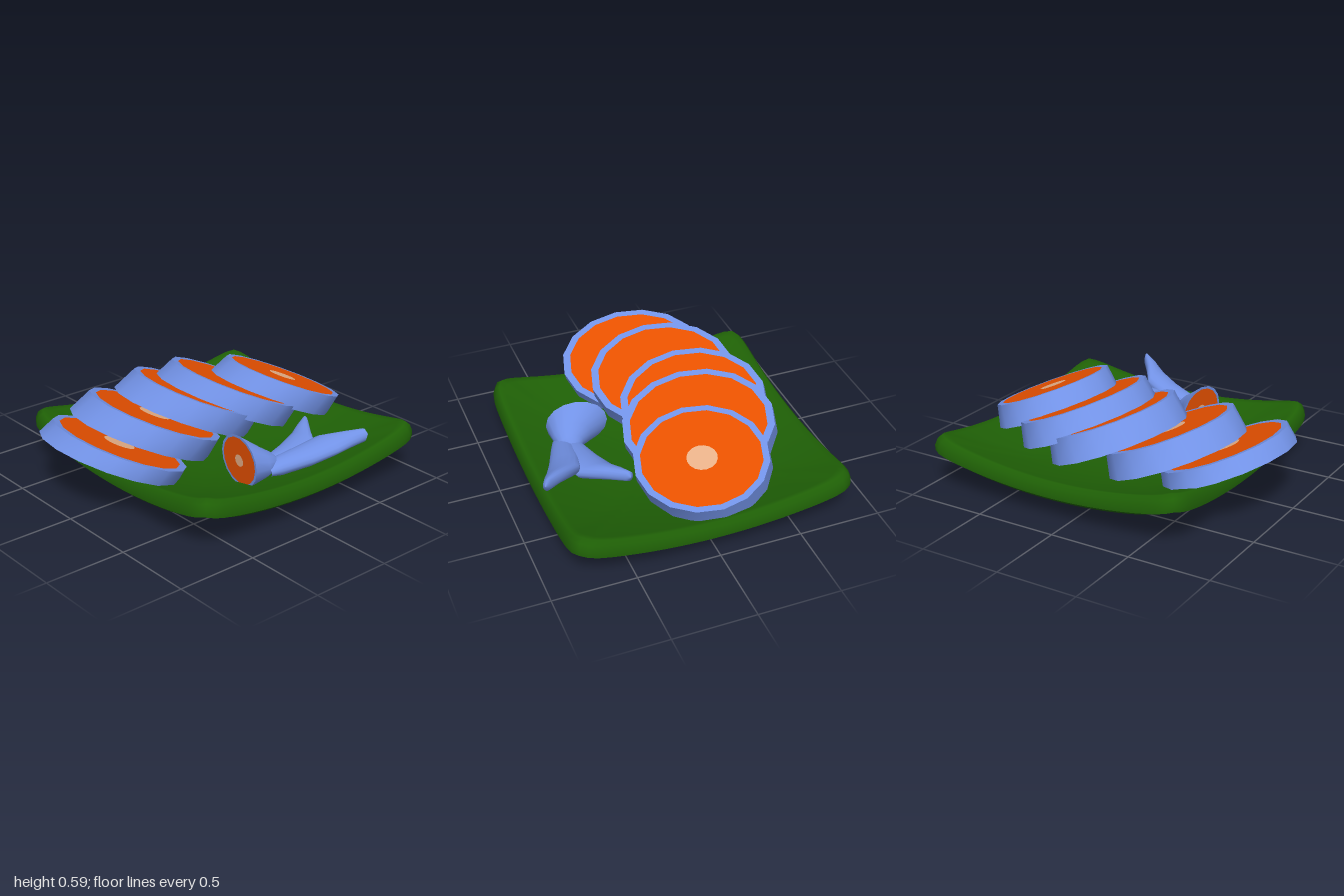
import * as THREE from 'three';

const mat = (name, color) => {
  const m = new THREE.MeshStandardMaterial({ color });
  m.name = name;
  return m;
};

// Skin a list of closed rings (arrays of Vector3), outward for counter-clockwise rings
function loft(rings) {
  const n = rings[0].length, pos = [], index = [];
  rings.forEach(r => r.forEach(p => pos.push(p.x, p.y, p.z)));
  for (let i = 0; i < rings.length - 1; i++) {
    for (let j = 0; j < n; j++) {
      const k = (j + 1) % n;
      const a = i * n + j, b = i * n + k, c = a + n, d = b + n;
      index.push(a, b, d, a, d, c);
    }
  }
  const g = new THREE.BufferGeometry();
  g.setAttribute('position', new THREE.Float32BufferAttribute(pos, 3));
  g.setIndex(index);
  g.computeVertexNormals();
  return g;
}

const ring = (n, fn) => Array.from({ length: n }, (_, j) => {
  const a = (j / n) * Math.PI * 2;
  return fn(Math.cos(a), Math.sin(a));
});

export function createModel() {
  const green = mat('leaf green', 0x1f6006);
  const blue = mat('fish skin blue', 0x7292e6);
  const orange = mat('fish flesh orange', 0xea5200);
  const cream = mat('fish bone cream', 0xeab28a);

  const model = new THREE.Group();
  const add = (parent, name, geometry, material) => {
    const mesh = new THREE.Mesh(geometry, material);
    mesh.name = name;
    parent.add(mesh);
  };
  // Cut face: skin border, flesh and central bone as concentric bands
  const BANDS = [[1, 0.9, 'Border', blue], [0.9, 0.23, 'Flesh', orange], [0.23, 0, 'Bone', cream]];
  const cutFace = (parent, name, ringAt, flip) => BANDS.forEach(([outer, inner, label, m]) => {
    const rings = [ringAt(outer), ringAt(inner)];
    add(parent, name + label, loft(flip ? rings.reverse() : rings), m);
  });

  // Leaf plate: rounded square bowl with raised, knobbed corners
  // each entry: scale, height, share of the corner lift, inset at the corners
  const underside = [
    [0, 0, 0, 0], [0.3, 0, 0, 0], [0.5, 0, 0, 0], [0.7, 0.038, 0.2, 0],
    [0.88, 0.08, 0.75, 0.06], [0.97, 0.115, 0.95, 0.05], [1, 0.138, 0.95, 0],
  ];
  const upperSide = [
    [1, 0.138, 0.95, 0], [1, 0.165, 1, 0], [0.985, 0.205, 1, 0], [0.96, 0.225, 1, 0],
    [0.92, 0.215, 0.95, 0], [0.75, 0.165, 0.6, 0], [0.5, 0.112, 0.2, 0],
    [0.25, 0.088, 0.04, 0], [0, 0.08, 0, 0],
  ];
  const plateLoft = profile => loft(profile.map(([s, y, lift, inset]) => ring(144, (c, q) => {
    const r = Math.pow(Math.abs(c) ** 15 + Math.abs(q) ** 15, -1 / 15);
    const t = Math.min(Math.abs(c), Math.abs(q)) * r;
    const w = r * (s - inset * t ** 8) * 0.857;
    return new THREE.Vector3(c * w, y + 0.11 * lift * t * t, -0.14 - q * w);
  })));
  add(model, 'leafUnderside', plateLoft(underside), green);
  add(model, 'leafRimAndBowl', plateLoft(upperSide), green);

  // Overlapping slices, leaning back and widening downwards:
  // x, y, z of the upper face, radii, depth
  const slices = [
    [-0.075, 0.33, 0.585, 0.465, 0.335, 0.68],
    [-0.15, 0.40, 0.265, 0.46, 0.34, 1],
    [-0.20, 0.43, -0.105, 0.455, 0.335, 1.03],
    [-0.13, 0.45, -0.355, 0.465, 0.335, 1],
    [-0.02, 0.445, -0.66, 0.40, 0.315, 0.95],
  ];
  slices.forEach(([x, y, z, rx, rz, k], i) => {
    const slice = new THREE.Group();
    slice.name = 'fishSlice' + (i + 1);
    const at = depth => s => ring(16, (c, q) => {
      const dx = c * s * (rx + 0.01 * depth), dz = -q * s * (rz + 0.035 * depth);
      return new THREE.Vector3(
        x + dx - 0.05 * depth, y + dz * 0.42 - dx * 0.03 - 0.12 * depth, z + dz + 0.085 * depth);
    });
    const top = at(0), bottom = at(k);
    add(slice, 'skin', loft([bottom(1), top(1)]), blue);
    cutFace(slice, 'upper', top, false);
    cutFace(slice, 'lower', bottom, true);
    model.add(slice);
  });

  // Tail piece
  const tail = new THREE.Group();
  tail.name = 'fishTail';
  const section = (x, y, z, rx, ry, skew = 0) => ring(16, (c, q) =>
    new THREE.Vector3(x + c * rx, y + q * ry, z + c * rx * skew));

  // Stump tapering from the cut end to the narrow joint
  const cut = s => section(0.465, 0.27, 0.13, 0.185 * s, 0.155 * s, 0.16);
  add(tail, 'stump', loft([
    section(0.55, 0.245, -0.07, 0, 0),
    section(0.55, 0.245, -0.06, 0.045, 0.035),
    section(0.55, 0.25, -0.03, 0.075, 0.06),
    section(0.525, 0.255, 0.03, 0.115, 0.095, 0.1),
    cut(1),
  ]), blue);
  cutFace(tail, 'cut', cut, false);

  // Two fin lobes meeting at the notch, tip first: x from, x to, y, z, half thickness
  const lobes = {
    rightFin: [[0.355, 0.355, 0.3, -0.515, 0], [0.335, 0.385, 0.3, -0.5, 0.035],
      [0.365, 0.495, 0.285, -0.42, 0.045], [0.4, 0.62, 0.265, -0.34, 0.05],
      [0.445, 0.65, 0.245, -0.2, 0.05], [0.48, 0.63, 0.225, -0.05, 0.05],
      [0.50, 0.61, 0.225, 0.04, 0.03]],
    leftFin: [[0.86, 0.86, 0.385, -0.52, 0], [0.815, 0.87, 0.38, -0.5, 0.042],
      [0.715, 0.84, 0.35, -0.42, 0.05], [0.6, 0.805, 0.31, -0.34, 0.055],
      [0.56, 0.745, 0.265, -0.2, 0.055], [0.54, 0.68, 0.235, -0.03, 0.05],
      [0.55, 0.65, 0.225, 0.04, 0.03]],
  };
  Object.entries(lobes).forEach(([name, rows]) => add(tail, name, loft(
    rows.map(([a, b, y, z, h]) => section((a + b) / 2, y, z, (b - a) / 2, h))), blue));
  model.add(tail);

  return model;
}
